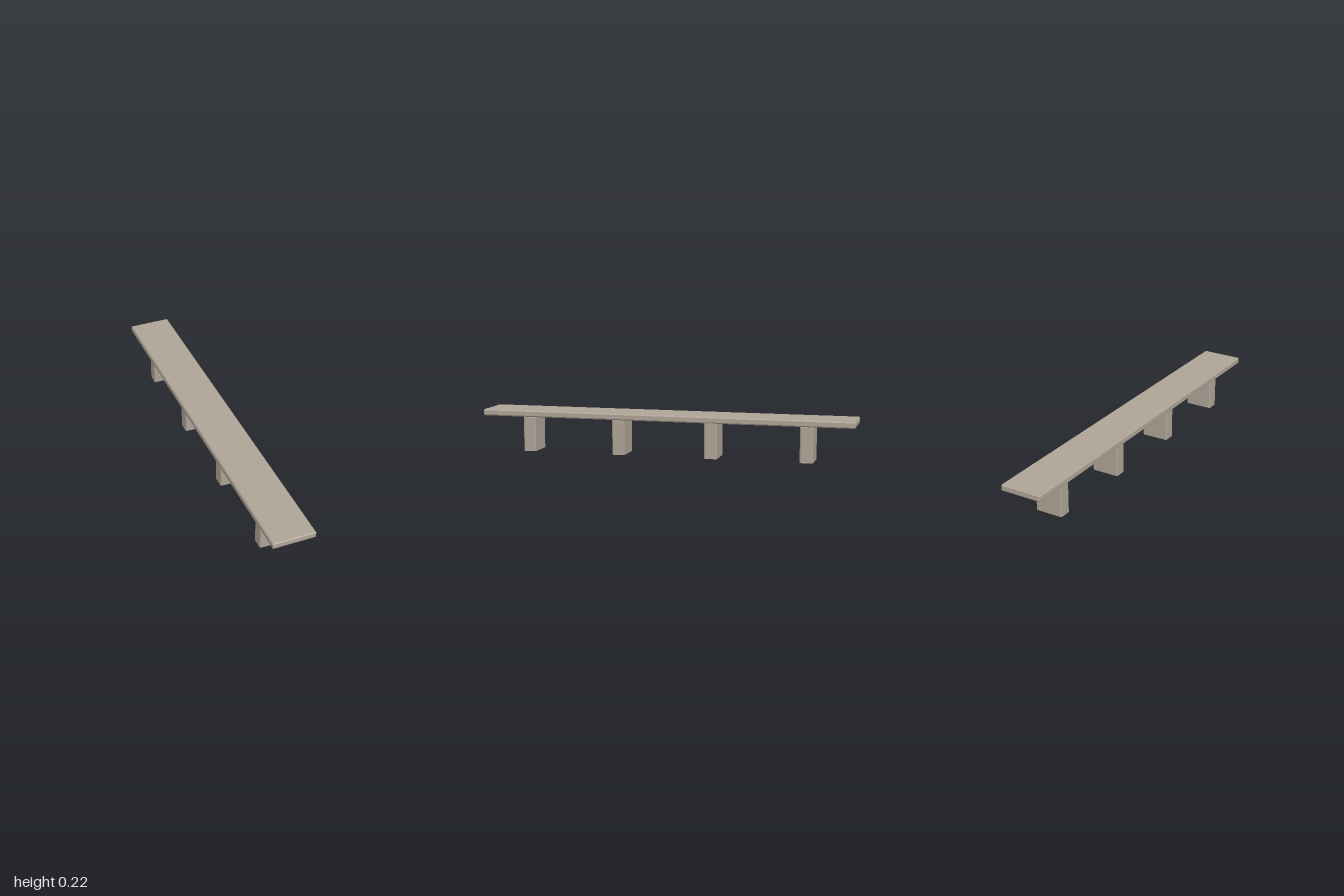
import * as THREE from 'three';

// Double-sided because the legs are open underneath
const stone = new THREE.MeshStandardMaterial({ color: 0xaea396, side: THREE.DoubleSide });
stone.name = 'warm grey stone';

// Cross-section in x and z, running from +z towards +x, with cut corners
function ring(w, d, cut, y) {
  const a = w - cut, b = d - cut;
  return [[-a, d], [a, d], [w, b], [w, -b], [a, -d], [-a, -d], [-w, -b], [-w, b]]
    .map(([x, z]) => new THREE.Vector3(x, y, z));
}

// Box with chamfers c wide and h high; an open base has straight sides and no bottom face
function chamferedBox(w, d, y0, y1, c, h, openBase) {
  const rings = [ring(w, d, c, y1 - h), ring(w - c, d - c, 0, y1)];
  if (openBase) rings.unshift(ring(w, d, c, y0));
  else rings.unshift(ring(w - c, d - c, 0, y0), ring(w, d, c, y0 + h));

  const points = [];
  const tri = (p, q, r) => {
    if (new THREE.Triangle(p, q, r).getArea() > 1e-9) points.push(p, q, r);
  };
  for (let k = 0; k < rings.length - 1; k++) {
    const low = rings[k], high = rings[k + 1];
    for (let i = 0; i < 8; i++) {
      const j = (i + 1) % 8;
      tri(low[i], low[j], high[j]);
      tri(low[i], high[j], high[i]);
    }
  }
  const top = rings[rings.length - 1], base = rings[0];
  for (let i = 1; i < 7; i++) {
    tri(top[0], top[i], top[i + 1]);
    if (!openBase) tri(base[0], base[i + 1], base[i]);
  }
  const geometry = new THREE.BufferGeometry().setFromPoints(points);
  geometry.computeVertexNormals();
  return geometry;
}

export function createModel() {
  const bench = new THREE.Group();
  bench.name = 'bench';

  // Long seat slab
  const seat = new THREE.Mesh(chamferedBox(0.1115, 1, 0.191, 0.225, 0.005, 0.006, false), stone);
  seat.name = 'seat';
  bench.add(seat);

  // Four evenly spaced block legs, open underneath
  const legGeometry = chamferedBox(0.0745, 0.034, 0, 0.192, 0.006, 0.008, true);
  [0.75, 0.25, -0.25, -0.75].forEach((z, i) => {
    const leg = new THREE.Mesh(legGeometry, stone);
    leg.name = `leg${i + 1}`;
    leg.position.z = z;
    bench.add(leg);
  });
  return bench;
}
